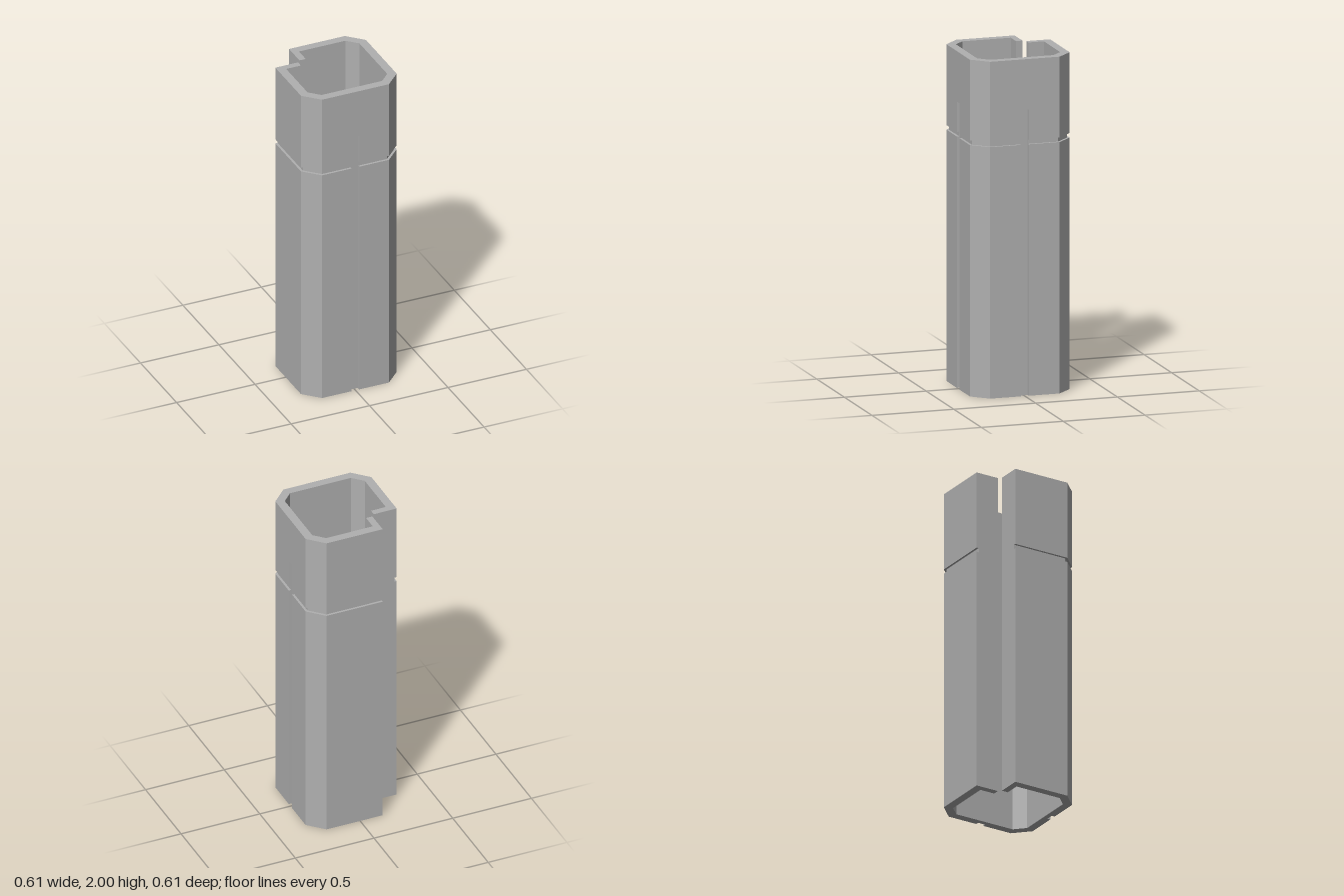
import * as THREE from 'three';

const OUT = 0.305, IN = 0.254;      // half widths of the outer and inner walls
const CUT_OUT = 0.213, CUT_IN = 0.193; // where the corner chamfers begin
const LIP_A = 0.143, LIP_B = 0.103, LIP_END = 0.16; // lips beside the open corner
const SLOT = 0.024, SLOT_FLOOR = OUT - 0.02; // vertical slots

// Plan outline in (x, z); it is symmetric about the diagonal x = z.
function profile(inset, slotted) {
  const o = OUT - inset, c = CUT_OUT - inset * 0.41;
  const slot = slotted
    ? [[o, -SLOT], [SLOT_FLOOR, -SLOT], [SLOT_FLOOR, SLOT], [o, SLOT]]
    : [];
  const outer = [[-LIP_A, -LIP_END], [-LIP_A, -o], [c, -o], [o, -c], ...slot, [o, c]];
  const inner = [[CUT_IN, IN], [IN, CUT_IN], [IN, -CUT_IN], [CUT_IN, -IN], [-LIP_B, -IN], [-LIP_B, -LIP_END]];
  const swap = (pts) => pts.map(([x, z]) => [z, x]).reverse();
  const loop = [...outer, ...swap(outer), ...swap(inner), ...inner];
  // drop the repeated chamfer edge where the two inner halves meet
  const unique = loop.filter(([x, z], i) => loop.findIndex(([a, b]) => a === x && b === z) === i);
  return new THREE.Shape(unique.map(([x, z]) => new THREE.Vector2(x, -z)));
}

export function createModel() {
  const group = new THREE.Group();
  group.name = 'slottedColumn';
  const grey = new THREE.MeshStandardMaterial({ color: 0xb0b0b0 });
  grey.name = 'grey';

  // Stacked wall sections: name, bottom, top, inset of the outer face, slotted
  const sections = [
    ['lowerWall', 0, 1.493, 0, true],
    ['grooveBand', 1.493, 1.52, 0.014, true],
    ['slotTopWall', 1.52, 1.7, 0, true],
    ['upperWall', 1.7, 2, 0, false],
  ];
  for (const [name, y0, y1, inset, slotted] of sections) {
    const geo = new THREE.ExtrudeGeometry(profile(inset, slotted), { depth: y1 - y0, bevelEnabled: false });
    geo.rotateX(-Math.PI / 2);
    geo.translate(0, y0, 0);
    const mesh = new THREE.Mesh(geo, grey);
    mesh.name = name;
    group.add(mesh);
  }
  return group;
}
